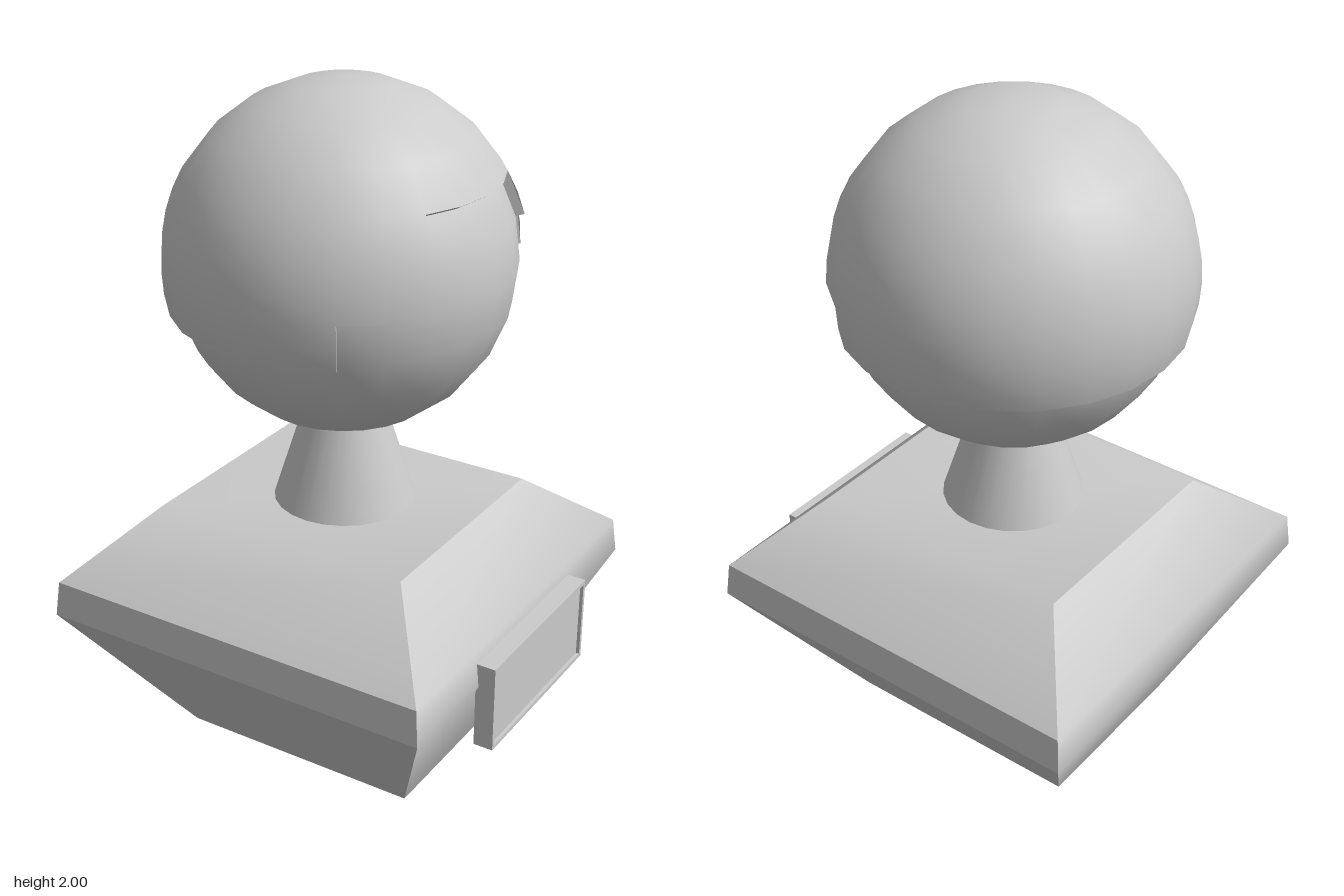
import * as THREE from 'three';
import { toCreasedNormals } from 'three/addons/utils/BufferGeometryUtils.js';

const CX = -0.027, HEAD_Y = 1.5, R_HEAD = 0.477, R_HAIR = 0.502;
const rad = THREE.MathUtils.degToRad;

export function createModel() {
  const group = new THREE.Group();
  const material = new THREE.MeshStandardMaterial({ color: 0xcccccc });
  const thin = new THREE.MeshStandardMaterial({ color: 0xcccccc, side: THREE.DoubleSide });
  const add = (name, geometry, x, y, z, mat = material, parent = group) => {
    const mesh = new THREE.Mesh(geometry, mat);
    mesh.name = name;
    mesh.position.set(x, y, z);
    parent.add(mesh);
    return mesh;
  };

  // Torso: rectangular sections stacked upwards
  add('torso', torsoGeometry([
    // y, half width, half depth
    [0, 0.372, 0.268],
    [0.475, 0.603, 0.605],
    [0.58, 0.5925, 0.595],
    [0.775, 0.397, 0.35],
  ]), CX, 0, 0);

  // Neck
  add('neck', new THREE.CylinderGeometry(0.118, 0.205, 0.275, 24), CX, 0.9125, 0);

  // Head
  add('head', new THREE.SphereGeometry(R_HEAD, 24, 12), CX, HEAD_Y, 0);

  // Hair: a full cap, then rows that open in steps around the face on +x
  const hair = new THREE.Group();
  hair.name = 'hair';
  hair.position.set(CX, HEAD_Y, 0);
  group.add(hair);
  add('hairCap', new THREE.SphereGeometry(R_HAIR, 24, 4, 0, Math.PI * 2, 0, rad(60)), 0, 0, 0, thin, hair);
  const rows = [[30, 30], [15, 45], [0, 60]]; // upper latitude, half opening angle
  for (const [lat, open] of rows) {
    const segments = (360 - 2 * open) / 15;
    add('hairRow', new THREE.SphereGeometry(R_HAIR, segments, 1,
      Math.PI + rad(open), rad(360 - 2 * open), rad(90 - lat), rad(15)), 0, 0, 0, thin, hair);
  }
  add('hairRim', rimGeometry(rows), 0, 0, 0, thin, hair);

  // Badge plate: a thin frame around a slightly sunken panel
  const frame = rectangle(new THREE.Shape(), 0.278, 0.13);
  frame.holes.push(rectangle(new THREE.Path(), 0.267, 0.118));
  const frameGeometry = new THREE.ExtrudeGeometry(frame, { depth: 0.058, bevelEnabled: false });
  add('badgeFrame', frameGeometry, 0.567, 0.415, 0).rotation.y = Math.PI / 2;
  add('badgePanel', new THREE.BoxGeometry(0.048, 0.238, 0.536), 0.591, 0.415, 0);

  return group;
}

function rectangle(path, w, h) {
  path.moveTo(-w, -h);
  path.lineTo(w, -h);
  path.lineTo(w, h);
  path.lineTo(-w, h);
  path.closePath();
  return path;
}

// Closed loft through rectangular sections, sharp only at the steeper folds
function torsoGeometry(sections) {
  const positions = [], index = [];
  for (const [y, w, d] of sections) {
    positions.push(-w, y, d, w, y, d, w, y, -d, -w, y, -d);
  }
  for (let s = 0; s < sections.length - 1; s++) {
    for (let i = 0; i < 4; i++) {
      const a = s * 4 + i, b = s * 4 + (i + 1) % 4;
      index.push(a, b, b + 4, a, b + 4, a + 4);
    }
  }
  const t = (sections.length - 1) * 4;
  index.push(0, 2, 1, 0, 3, 2, t, t + 1, t + 2, t, t + 2, t + 3);
  const geometry = new THREE.BufferGeometry();
  geometry.setAttribute('position', new THREE.Float32BufferAttribute(positions, 3));
  geometry.setIndex(index);
  return toCreasedNormals(geometry, rad(40.2));
}

// Wall closing the gap between hair and head along the stepped edge
function rimGeometry(rows) {
  const side = []; // [azimuth from +x, latitude], from mid forehead to the nape
  for (let a = 0; a <= 30; a += 15) side.push([a, 30]);
  for (const [lat, open] of rows) {
    side.push([open, lat - 15]);
    if (lat > 0) side.push([open + 15, lat - 15]);
  }
  for (let a = 75; a <= 180; a += 15) side.push([a, -15]);
  const loop = [...side.map(([a, l]) => [-a, l]).reverse(), ...side.slice(1)];

  const point = ([a, l], r) => [
    r * Math.cos(rad(l)) * Math.cos(rad(a)),
    r * Math.sin(rad(l)),
    r * Math.cos(rad(l)) * Math.sin(rad(a)),
  ];
  const positions = [];
  for (let i = 0; i < loop.length - 1; i++) {
    const [a, b] = [loop[i], loop[i + 1]];
    const [a0, a1, b0, b1] = [point(a, R_HEAD - 0.01), point(a, R_HAIR), point(b, R_HEAD - 0.01), point(b, R_HAIR)];
    positions.push(...a0, ...a1, ...b1, ...a0, ...b1, ...b0);
  }
  const geometry = new THREE.BufferGeometry();
  geometry.setAttribute('position', new THREE.Float32BufferAttribute(positions, 3));
  geometry.computeVertexNormals();
  return geometry;
}
